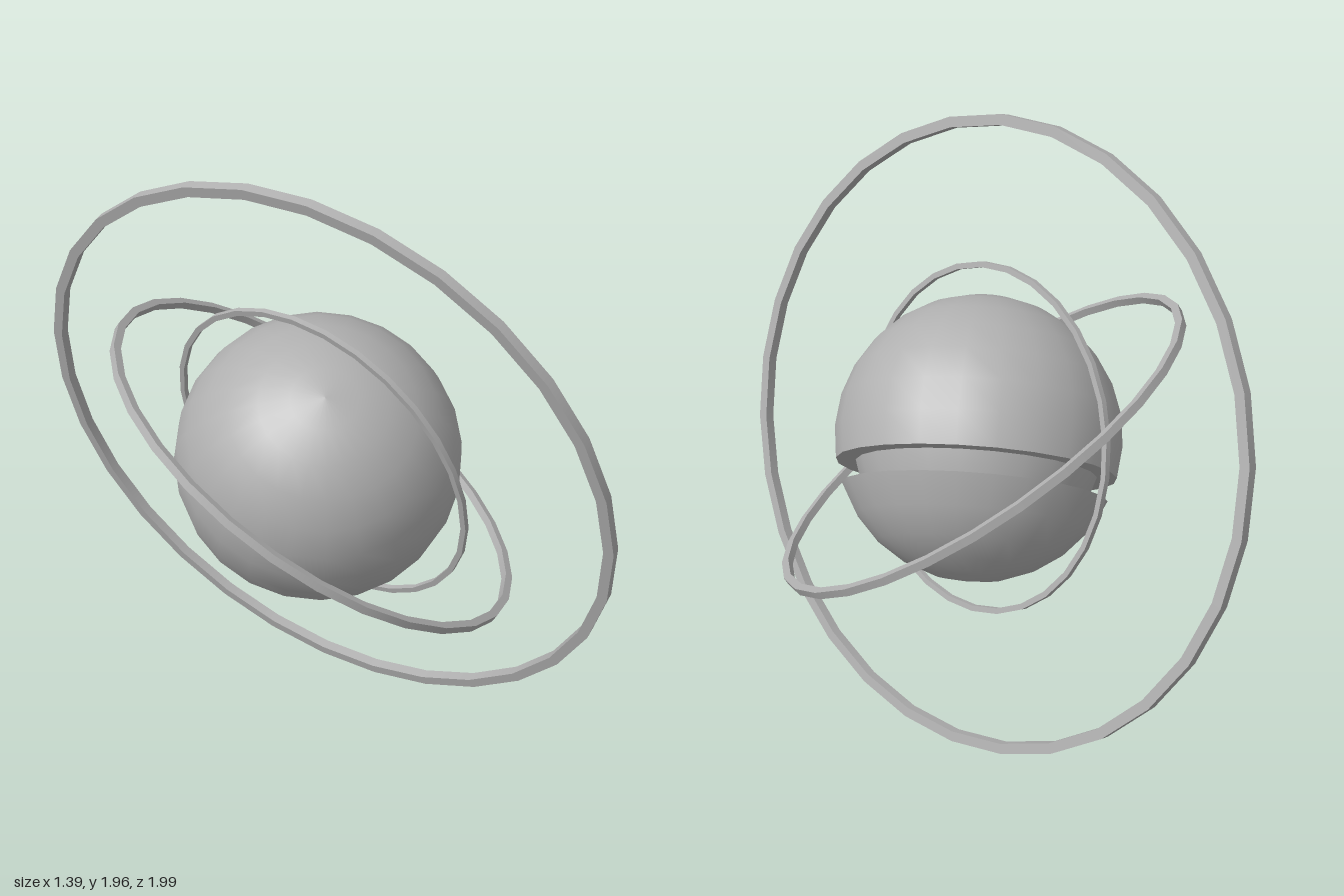
import * as THREE from 'three';
import { mergeGeometries } from 'three/addons/utils/BufferGeometryUtils.js';

const CENTER_Y = 0.987;
const UP = new THREE.Vector3(0, 1, 0);

// Revolve each profile strip separately so the edges between strips stay sharp
function revolve(strips, segments) {
  return mergeGeometries(strips.map(points =>
    new THREE.LatheGeometry(points.map(([r, y]) => new THREE.Vector2(r, y)), segments)));
}

// Points along a sphere's profile between two heights, bottom to top
function arc(radius, y0, y1, steps) {
  const a0 = Math.asin(y0 / radius), a1 = Math.asin(y1 / radius);
  return Array.from({ length: steps + 1 }, (_, i) => {
    const a = a0 + (a1 - a0) * i / steps;
    return [Math.max(0, radius * Math.cos(a)), radius * Math.sin(a)];
  });
}

// Thin hoop with a square section
function hoopGeometry(outer, width) {
  const inner = outer - width, h = width / 2;
  const corners = [[outer, -h], [outer, h], [inner, h], [inner, -h]];
  return revolve(corners.map((p, i) => [p, corners[(i + 1) % 4]]), 30);
}

export function createModel() {
  const model = new THREE.Group();
  const grey = new THREE.MeshStandardMaterial({ color: 0xb0b0b0 });
  grey.name = 'grey';

  function add(name, geometry, axis) {
    const mesh = new THREE.Mesh(geometry, grey);
    mesh.name = name;
    mesh.position.y = CENTER_Y;
    mesh.quaternion.setFromUnitVectors(UP, new THREE.Vector3(...axis).normalize());
    model.add(mesh);
  }

  // Globe split by a tilted groove around a smaller core
  const R = 0.455, CORE = 0.395, upperCut = -0.104, lowerCut = -0.178, SEG = 24;
  const globeAxis = [-0.414, 0.797, 0.438];
  const rim = (radius, y) => [Math.sqrt(radius * radius - y * y), y];
  add('largeShell', revolve([
    [rim(CORE, upperCut), rim(R, upperCut)],
    arc(R, upperCut, R, 8),
  ], SEG), globeAxis);
  add('smallShell', revolve([
    arc(R, -R, lowerCut, 5),
    [rim(R, lowerCut), rim(CORE, lowerCut)],
  ], SEG), globeAxis);
  add('core', revolve([arc(CORE, lowerCut, upperCut, 2)], SEG), globeAxis);

  // Orbiting hoops: outer radius, section width, axis
  add('outerHoop', hoopGeometry(1.01, 0.033), [0.951, 0.247, -0.187]);
  add('middleHoop', hoopGeometry(0.752, 0.025), [0.395, 0.83, 0.395]);
  add('innerHoop', hoopGeometry(0.557, 0.018), [0.967, 0.24, -0.085]);

  return model;
}
